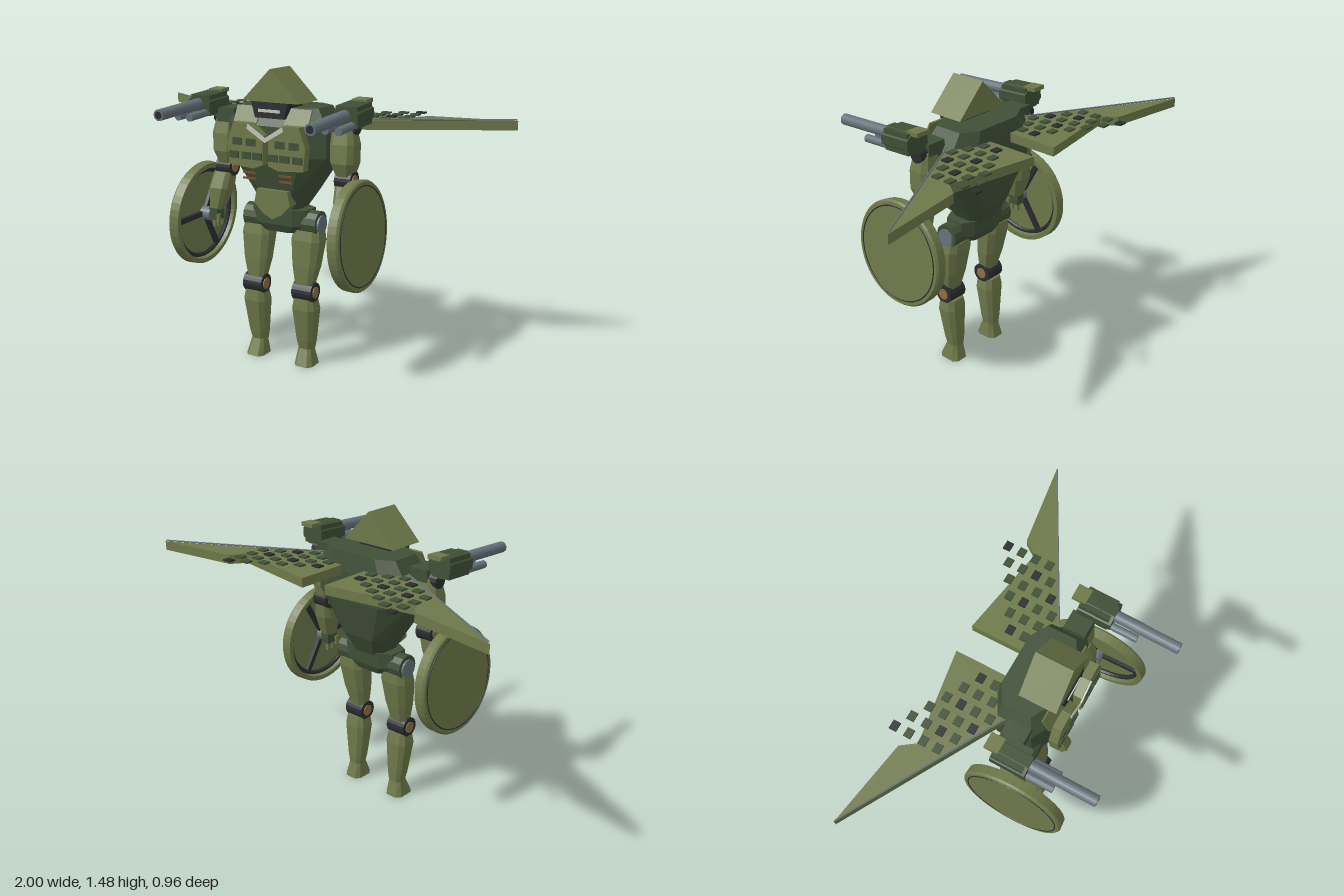
import * as THREE from 'three';

const paint = (name, color) => Object.assign(new THREE.MeshStandardMaterial({ color, flatShading: true }), { name });
const olive = paint('olive', 0x6e7849);
const green = paint('darkGreen', 0x3f4f36);
const charcoal = paint('charcoal', 0x2b2c30);
const steel = paint('steel', 0x65727a);
const bronze = paint('bronze', 0x8c7040);
const pale = paint('pale', 0xc4c6ba);
const rust = paint('rust', 0x7d4c28);

// Octagonal sections [y, cx, cz, halfWidth, halfDepth, chamfer], listed from bottom to top
function loft(rings, s = 1) {
  const pts = rings.map(([y, cx, cz, w, d, c = 0.4]) => {
    const a = w * (1 - c), b = d * (1 - c);
    return [[w, -b], [w, b], [a, d], [-a, d], [-w, b], [-w, -b], [-a, -d], [a, -d]]
      .map(([x, z]) => [s * cx + x, y, cz + z]);
  });
  const out = [];
  const last = pts.length - 1;
  for (let j = 0; j < 8; j++) {
    const k = (j + 1) % 8;
    for (let i = 0; i < last; i++) {
      out.push(pts[i][j], pts[i + 1][j], pts[i][k], pts[i][k], pts[i + 1][j], pts[i + 1][k]);
    }
    if (j > 0 && j < 7) out.push(pts[0][0], pts[0][j], pts[0][k], pts[last][0], pts[last][k], pts[last][j]);
  }
  const g = new THREE.BufferGeometry();
  g.setAttribute('position', new THREE.Float32BufferAttribute(out.flat(), 3));
  g.computeVertexNormals();
  return g;
}

function extrude(points, depth) {
  const shape = new THREE.Shape(points.map(([x, y]) => new THREE.Vector2(x, y)));
  return new THREE.ExtrudeGeometry(shape, { depth, bevelEnabled: false });
}

function add(parent, name, geometry, material, x = 0, y = 0, z = 0) {
  const m = new THREE.Mesh(geometry, material);
  m.name = name;
  m.position.set(x, y, z);
  parent.add(m);
  return m;
}

const box = (w, h, d) => new THREE.BoxGeometry(w, h, d);
const rodX = (r, len, n = 20) => new THREE.CylinderGeometry(r, r, len, n).rotateZ(Math.PI / 2);
const rodZ = (r, len, n = 20) => new THREE.CylinderGeometry(r, r, len, n).rotateX(Math.PI / 2);

function group(parent, name) {
  const g = new THREE.Group();
  g.name = name;
  parent.add(g);
  return g;
}

function buildBody(root) {
  const body = group(root, 'body');
  add(body, 'torso', loft([
    [0.78, 0, 0, 0.09, 0.07], [0.88, 0, -0.01, 0.15, 0.11], [1.07, 0, -0.006, 0.27, 0.151],
    [1.21, 0, -0.006, 0.27, 0.148], [1.30, 0, -0.02, 0.21, 0.12],
  ]), green);
  add(body, 'pelvis', loft([[0.68, 0, 0.01, 0.1, 0.06], [0.72, 0, 0.01, 0.15, 0.08], [0.80, 0, 0.01, 0.15, 0.08]]), green);
  add(body, 'abdomenPlate', extrude([
    [-0.085, 0.9], [-0.1, 0.83], [-0.05, 0.78], [0, 0.755], [0.05, 0.78], [0.1, 0.83], [0.085, 0.9],
  ], 0.06), olive, 0, 0, 0.07);

  // Wedge-shaped head with a visor beneath
  add(body, 'head', extrude([[-0.155, 1.325], [0.155, 1.325], [0, 1.48]], 0.185), olive, 0, 0, -0.04);
  add(body, 'visor', extrude([[-0.08, 1.25], [0.08, 1.25], [0.1, 1.325], [-0.1, 1.325]], 0.15), charcoal, 0, 0, 0);
  add(body, 'visorLight', box(0.12, 0.014, 0.006), pale, 0, 1.285, 0.152);

  // Chest chevron
  add(body, 'chevron', extrude([
    [0, 1.14], [0.1, 1.2], [0.095, 1.222], [0, 1.163], [-0.095, 1.222], [-0.1, 1.2],
  ], 0.006), pale, 0, 0, 0.188);

  for (const s of [1, -1]) {
    add(body, 'chestPlate', extrude([
      [s * 0.015, 1.03], [s * 0.07, 1.01], [s * 0.205, 1.02], [s * 0.215, 1.13],
      [s * 0.18, 1.225], [s * 0.09, 1.225], [s * 0.015, 1.17],
    ], 0.045), olive, 0, 0, 0.142);
    add(body, 'collarPlate', box(0.13, 0.085, 0.008), olive, s * 0.14, 1.258, 0.122).rotation.x = -0.46;
    for (const [x, y] of [[0.155, 1.135], [0.08, 1.135], [0.175, 1.07], [0.105, 1.07], [0.045, 1.07]]) {
      add(body, 'chestWindow', box(0.052, 0.034, 0.006), green, s * x, y, 0.19);
    }
    for (const y of [0.985, 0.957]) add(body, 'vent', box(0.07, 0.009, 0.008), rust, s * 0.1, y, 0.17);
    add(body, 'hipHousing', rodX(0.062, 0.1, 12), green, s * 0.155, 0.735, 0.01);
    add(body, 'hipCap', rodX(0.045, 0.02), steel, s * 0.205, 0.73, 0.01);
  }
}

function buildLeg(root, s) {
  const leg = group(root, s > 0 ? 'leftLeg' : 'rightLeg');
  add(leg, 'thigh', loft([
    [0.42, 0.138, 0.042, 0.045, 0.035], [0.52, 0.14, 0.03, 0.065, 0.05],
    [0.65, 0.142, 0.015, 0.078, 0.06], [0.70, 0.142, 0.01, 0.07, 0.055],
  ], s), olive);
  add(leg, 'knee', rodX(0.05, 0.108), charcoal, s * 0.142, 0.39, 0.045);
  add(leg, 'kneeCap', rodX(0.029, 0.116), bronze, s * 0.142, 0.39, 0.045);
  add(leg, 'shin', loft([
    [0.08, 0.138, 0.02, 0.036, 0.035], [0.13, 0.139, 0.025, 0.045, 0.042],
    [0.30, 0.142, 0.038, 0.062, 0.055], [0.355, 0.142, 0.04, 0.052, 0.047],
  ], s), olive);
  add(leg, 'foot', loft([[0, 0.143, 0.03, 0.05, 0.06], [0.085, 0.138, 0.025, 0.036, 0.032]], s), olive);
}

function buildShield(arm, s) {
  const shield = group(arm, 'shield');
  shield.position.set(s * 0.442, 0.722, 0.075);
  shield.rotation.z = -s * (Math.PI / 2 - 0.055); // local y points outward
  const profile = [[0, 0.008], [0.232, 0.008], [0.238, -0.03], [0.262, -0.03], [0.266, 0.016],
    [0.258, 0.026], [0, 0.026]].map(([r, y]) => new THREE.Vector2(r, y));
  add(shield, 'shieldDish', new THREE.LatheGeometry(profile, 48), olive);
  add(shield, 'shieldGroove', new THREE.TorusGeometry(0.239, 0.003, 6, 48).rotateX(Math.PI / 2), charcoal, 0, 0.026, 0);
  add(shield, 'innerRing', new THREE.TorusGeometry(0.225, 0.012, 6, 48).rotateX(Math.PI / 2), charcoal, 0, -0.002, 0);
  for (let i = 0; i < 3; i++) {
    const spoke = box(0.225, 0.018, 0.026).translate(0.115, 0, 0).rotateY(i * Math.PI * 2 / 3 + 0.5);
    add(shield, 'spoke', spoke, charcoal, 0, -0.004, 0);
  }
  add(shield, 'hub', new THREE.CylinderGeometry(0.035, 0.035, 0.055, 16), steel, 0, -0.025, 0);
}

function buildArm(root, s) {
  const arm = group(root, s > 0 ? 'leftArm' : 'rightArm');
  add(arm, 'shoulderLink', box(0.1, 0.07, 0.11), green, s * 0.3, 1.235, 0.02);
  add(arm, 'shoulderJoint', rodX(0.035, 0.14, 12), charcoal, s * 0.325, 1.22, 0.005);
  add(arm, 'upperArm', loft([
    [0.985, 0.333, 0.005, 0.04, 0.042], [1.05, 0.333, 0.012, 0.06, 0.062],
    [1.14, 0.333, 0.012, 0.063, 0.058], [1.23, 0.325, 0.01, 0.05, 0.042],
  ], s), olive);
  add(arm, 'elbow', rodX(0.048, 0.085), charcoal, s * 0.337, 0.965, 0.005);
  add(arm, 'elbowCap', rodX(0.028, 0.093), bronze, s * 0.337, 0.965, 0.005);
  add(arm, 'forearm', loft([
    [0.75, 0.37, 0.055, 0.034, 0.034], [0.86, 0.355, 0.035, 0.055, 0.055], [0.94, 0.345, 0.015, 0.05, 0.045],
  ], s), olive);
  add(arm, 'palm', box(0.05, 0.06, 0.065), green, s * 0.373, 0.725, 0.06);
  for (let i = 0; i < 4; i++) {
    add(arm, 'finger', box(0.016, 0.05, 0.013), olive, s * (0.36 + 0.008 * (i % 2)), 0.685, 0.035 + i * 0.017);
  }
  add(arm, 'thumb', box(0.016, 0.045, 0.016), olive, s * 0.345, 0.705, 0.085);
  buildShield(arm, s);

  // Shoulder cannon, tipped slightly downward
  const gun = group(arm, 'cannon');
  gun.position.set(s * 0.4, 1.288, 0.07);
  gun.rotation.x = 0.055;
  add(gun, 'cannonHousing', new THREE.CylinderGeometry(0.066, 0.066, 0.17, 8)
    .rotateY(Math.PI / 8).rotateX(Math.PI / 2).scale(1.02, 0.85, 1), green);
  add(gun, 'cannonBlock', box(0.11, 0.1, 0.15), green, 0, 0, -0.005);
  add(gun, 'mainBarrel', rodZ(0.027, 0.36), steel, 0, 0.01, 0.225);
  add(gun, 'mainBore', rodZ(0.018, 0.004), charcoal, 0, 0.01, 0.405);
  for (const x of [-0.033, 0.033]) add(gun, 'sideBarrel', rodZ(0.019, 0.16, 14), steel, x, -0.034, 0.135);
  add(gun, 'sight', box(0.075, 0.02, 0.068), olive, 0, 0.05, -0.092);
}

function buildWing(root, s) {
  const wing = group(root, s > 0 ? 'leftWing' : 'rightWing');
  const outline = [[0.07, 0.05], [0.25, 0.05], [1, 0.468], [0.58, 0.405], [0.53, 0.335], [0.07, 0.41]];
  add(wing, 'wingPanel', extrude(outline.map(([x, y]) => [s * x, y]), 0.045).rotateX(-Math.PI / 2), olive, 0, 1.19, 0);
  const edge = new THREE.LineCurve3(new THREE.Vector3(s * 0.26, 1.24, -0.06), new THREE.Vector3(s * 0.995, 1.24, -0.465));
  add(wing, 'leadingEdgeRod', new THREE.TubeGeometry(edge, 1, 0.004, 6), steel);
  // Slanted grid of small tiles reaching beyond the trailing edge
  const tile = box(0.044, 0.008, 0.036);
  for (let c = 0; c < 6; c++) {
    for (let r = 0; r < (c === 5 ? 3 : 4); r++) {
      const z = -0.465 + c * 0.044 + r * 0.073;
      const dark = (c + 2 * r) % 5 === 0 || (c === 2 && r === 3);
      add(wing, 'tile', tile, dark ? charcoal : green, s * (0.51 - c * 0.075), 1.239, z);
    }
  }
}

export function createModel() {
  const root = new THREE.Group();
  root.name = 'robot';
  buildBody(root);
  for (const s of [1, -1]) {
    buildLeg(root, s);
    buildArm(root, s);
    buildWing(root, s);
  }
  return root;
}
